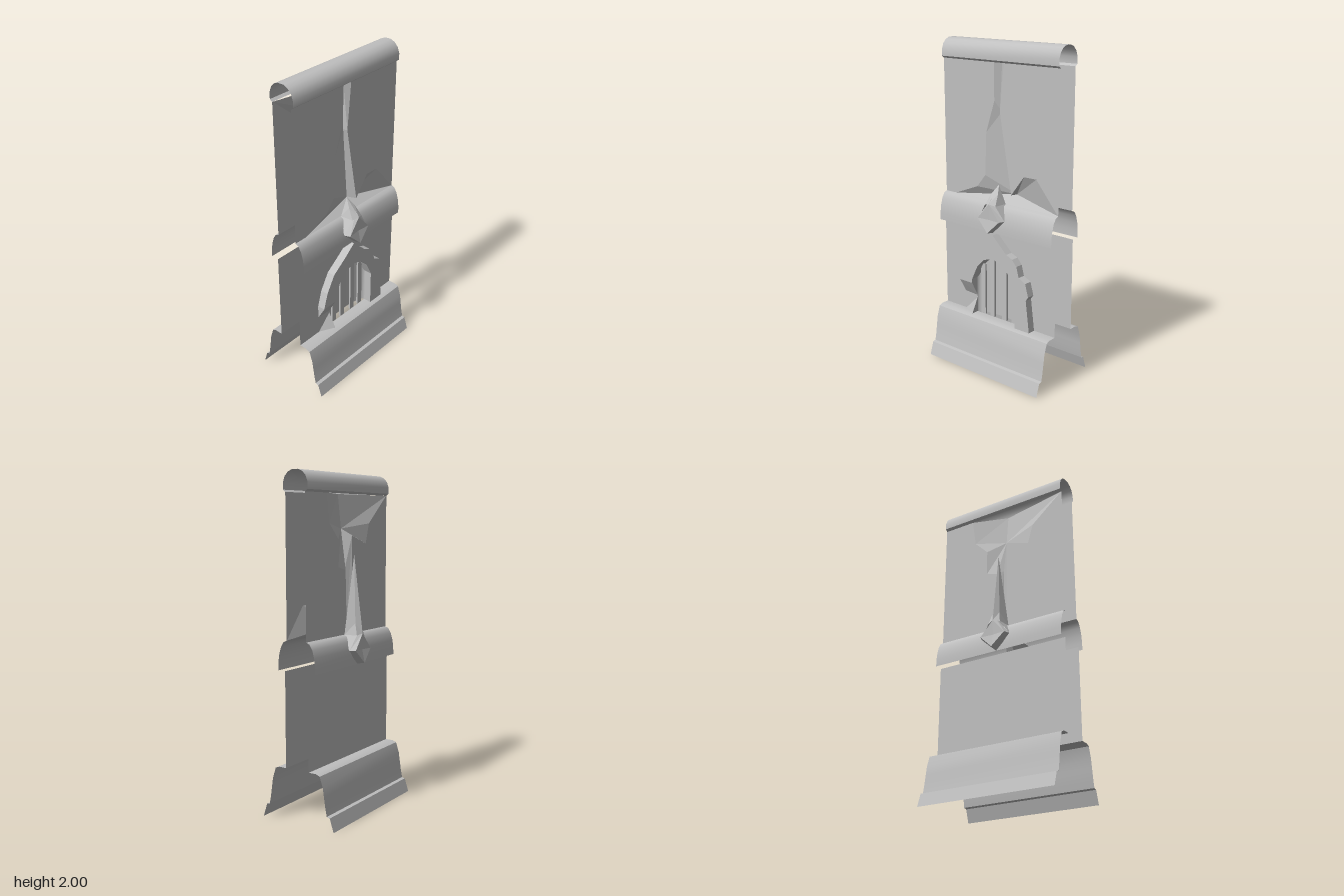
import * as THREE from 'three';
import { toCreasedNormals } from 'three/addons/utils/BufferGeometryUtils.js';

const W = 0.433; // half width of the wall
const stone = new THREE.MeshStandardMaterial({ color: 0xc0c0c0, side: THREE.DoubleSide });
stone.name = 'stone';

function add(group, name, geometry) {
  const mesh = new THREE.Mesh(geometry, stone);
  mesh.name = name;
  group.add(mesh);
  return mesh;
}

// Faceted surface from polygons, each a loop of [x, y, z] points cut into a fan
function facets(polys) {
  const pos = [];
  for (const p of polys)
    for (let i = 1; i < p.length - 1; i++) pos.push(...p[0], ...p[i], ...p[i + 1]);
  const g = new THREE.BufferGeometry();
  g.setAttribute('position', new THREE.Float32BufferAttribute(pos, 3));
  g.computeVertexNormals();
  return g;
}

// Open sheet: a [z, y] profile swept across the full width
function molding(profile, crease = 0.7) {
  const polys = [];
  for (let i = 0; i < profile.length - 1; i++) {
    const [z0, y0] = profile[i], [z1, y1] = profile[i + 1];
    polys.push([[-W, y0, z0], [-W, y1, z1], [W, y1, z1], [W, y0, z0]]);
  }
  return toCreasedNormals(facets(polys), crease);
}

const shapeOf = pts => new THREE.Shape(pts.map(p => new THREE.Vector2(...p)));

function flat(pts, z, holes = []) {
  const s = shapeOf(pts);
  s.holes = holes.map(shapeOf);
  return new THREE.ShapeGeometry(s).translate(0, 0, z);
}

// Upper wall split by a crack; left and right are crack borders from top to bottom
function crackedWall(group, name, z, left, right, crack) {
  add(group, name + 'Left', flat([[-W, 1.06], ...[...left].reverse(), [-W, 1.88]], z));
  add(group, name + 'Right', flat([[W, 1.88], ...right, [W, 1.06]], z));
  add(group, name + 'Crack', facets(crack));
}

// Diamond boss with a spike rising from it; s is the side, +1 front or -1 back
function boss(s, tip, shoulder) {
  const P = (x, y, z) => [x, y, z * s];
  const ring = (w, mid, top, bottom, zs, zt, zb) =>
    [P(-w, mid, zs), P(0, bottom, zb), P(w, mid, zs), P(0, top, zt)];
  const outer = ring(0.095, 0.975, 1.1, 0.885, 0.135, 0.14, 0.12);
  const front = ring(0.082, 0.975, 1.07, 0.895, 0.17, 0.165, 0.18);
  const centre = P(0, 0.975, 0.163), root = P(0, 1.06, 0), t = P(...tip);
  const polys = [];
  for (let i = 0; i < 4; i++) {
    const j = (i + 1) % 4;
    polys.push([outer[i], outer[j], front[j], front[i]], [front[i], front[j], centre],
      [outer[j], outer[i], root]);
  }
  for (const m of [-1, 1]) {
    const a = P(m * 0.05, 1.06, 0.07), b = P(m * 0.04, 1.06, 0.15);
    const k = P(m * 0.025, ...shoulder);
    polys.push([a, outer[m + 1], b], [b, front[3], k], [a, b, k], [a, k, t], [front[3], k, t]);
  }
  return facets(polys);
}

export function createModel() {
  const model = new THREE.Group();
  model.name = 'wallSegment';

  // Rounded coping, open underneath
  const half = [[0.067, 1.88], [0.083, 1.892], [0.083, 1.93], [0.07, 1.965], [0.048, 1.988], [0.02, 2]];
  add(model, 'coping', molding([...half, ...[...half].reverse().map(([z, y]) => [-z, y])], 0.9));

  // String course and plinth on both faces
  const course = [[0.067, 1.06], [0.09, 1.05], [0.108, 1.02], [0.121, 0.975], [0.127, 0.93], [0.128, 0.885]];
  const plinth = [[0.08, 0.32], [0.13, 0.32], [0.155, 0.31], [0.176, 0.245], [0.184, 0.19],
    [0.193, 0.13], [0.202, 0.085], [0.222, 0.08], [0.248, 0]];
  for (const [s, side] of [[1, 'front'], [-1, 'back']]) {
    add(model, side + 'StringCourse', molding(course.map(([z, y]) => [z * s, y])));
    add(model, side + 'Plinth', molding(plinth.map(([z, y]) => [z * s, y]), 0.4));
  }

  // Front upper wall: thin crack opening into a wide break at the bottom
  {
    const left = [[-0.037, 1.88], [-0.037, 1.66], [-0.1, 1.47], [-0.11, 1.21], [-0.175, 1.13], [-0.35, 1.06]];
    const right = [[0.034, 1.88], [0.005, 1.6], [0.04, 1.4], [0.09, 1.12], [0.185, 1.245], [0.275, 1.245], [0.43, 1.06]];
    const z = 0.067, l = left.map(p => [...p, z]), r = right.map(p => [...p, z]);
    const top = [0, 1.88, 0.04], mid = [0, 1.6, 0.04], deep = [0.08, 1.11, 0];
    crackedWall(model, 'frontUpperWall', z, left, right, [
      [l[0], l[1], mid, top], [l[1], l[2], mid], [l[2], l[3], deep, mid], [l[3], l[4], deep],
      [l[4], l[5], deep], [l[5], r[6], deep],
      [top, mid, r[1], r[0]], [mid, r[2], r[1]], [mid, deep, r[3], r[2]], [deep, r[4], r[3]],
      [deep, r[5], r[4]], [deep, r[6], r[5]],
    ]);
  }

  // Back upper wall: star-shaped break at the top with a thin crack below
  {
    const left = [[-0.43, 1.88], [-0.225, 1.71], [-0.19, 1.59], [-0.035, 1.64], [-0.035, 1.06]];
    const right = [[0.225, 1.88], [0.2, 1.71], [0.11, 1.62], [0.11, 1.46], [0.034, 1.44], [0.02, 1.06]];
    const z = -0.067, l = left.map(p => [...p, z]), r = right.map(p => [...p, z]);
    const top = [0, 1.88, 0.01], deep = [0, 1.68, -0.012], low = [0, 1.46, -0.042], foot = [-0.005, 1.06, -0.042];
    crackedWall(model, 'backUpperWall', z, left, right, [
      [l[0], l[1], deep, top], [l[1], l[2], deep], [l[2], l[3], deep], [l[3], low, deep], [l[3], l[4], foot, low],
      [top, deep, r[1], r[0]], [deep, r[2], r[1]], [deep, r[3], r[2]], [deep, low, r[4], r[3]],
      [low, foot, r[5], r[4]],
    ]);
  }

  // Lower walls, the front one with an arched opening
  const arch = [[-0.17, 0.32], [-0.17, 0.55], [-0.125, 0.645], [-0.07, 0.7], [0, 0.72],
    [0.07, 0.7], [0.125, 0.645], [0.17, 0.55], [0.17, 0.32]];
  const wallTop = 0.885;
  add(model, 'frontLowerWall', flat(
    [[-W, 0.32], ...arch, [W, 0.32], [W, wallTop], [-W, wallTop]], 0.08));
  add(model, 'backLowerWall', flat([[-W, 0.32], [W, 0.32], [W, wallTop], [-W, wallTop]], -0.08));

  // Curved niche behind the opening, with its ceiling
  const archY = x => {
    for (let i = 1; i < 7; i++) {
      const [x0, y0] = arch[i], [x1, y1] = arch[i + 1];
      if (x <= x1) return y0 + (y1 - y0) * (x - x0) / (x1 - x0);
    }
    return 0.55;
  };
  const niche = [], ceiling = [], N = 16;
  for (let i = 0; i < N; i++) {
    const at = k => {
      const a = Math.PI * k / N, x = -0.17 * Math.cos(a);
      return [x, archY(x), 0.08 - 0.04 * Math.sin(a)];
    };
    const a = at(i), b = at(i + 1);
    niche.push([[a[0], 0.32, a[2]], [b[0], 0.32, b[2]], b, a]);
    ceiling.push([a, b, [b[0], b[1], 0.08], [a[0], a[1], 0.08]]);
  }
  add(model, 'niche', toCreasedNormals(facets(niche), 0.8));
  add(model, 'nicheCeiling', facets(ceiling));

  // Upright window bars
  for (const x of [-0.122, -0.048, 0.048, 0.122]) {
    const h = archY(x) - 0.32;
    add(model, 'windowBar', new THREE.BoxGeometry(0.035, h, 0.012).translate(x, 0.32 + h / 2, 0.073));
  }

  // Weathered arch surround
  const surround = [[-0.17, 0.525], ...arch.slice(1), [0.28, 0.32], [0.255, 0.52], [0.272, 0.545], [0.25, 0.625],
    [0.2, 0.65], [0.183, 0.715], [0.15, 0.752], [0.105, 0.772], [0, 0.87], [-0.085, 0.8],
    [-0.18, 0.73], [-0.24, 0.625], [-0.27, 0.525]];
  add(model, 'archSurround', new THREE.ExtrudeGeometry(shapeOf(surround),
    { depth: 0.05, bevelEnabled: false }).translate(0, 0, 0.08));

  // Broken end of the surround and the shard left below it
  const a = [-0.27, 0.525, 0.13], b = [-0.17, 0.525, 0.13], c = [-0.17, 0.43, 0.08], d = [-0.27, 0.435, 0.08];
  const e = [-0.27, 0.525, 0.08], f = [-0.17, 0.525, 0.08];
  add(model, 'brokenEnd', facets([[a, d, c, b], [a, e, d], [b, c, f]]));
  const s0 = [-0.265, 0.32, 0.08], s1 = [-0.17, 0.415, 0.08], s2 = [-0.17, 0.32, 0.13], s3 = [-0.17, 0.32, 0.08];
  add(model, 'surroundShard', facets([[s0, s2, s1], [s0, s3, s2], [s1, s2, s3]]));

  // Diamond bosses, the back one with a tall spike
  add(model, 'frontBoss', boss(1, [0, 1.17, 0.07], [1.12, 0.11]));
  add(model, 'backBoss', boss(-1, [0, 1.53, 0.105], [1.13, 0.13]));
  return model;
}
